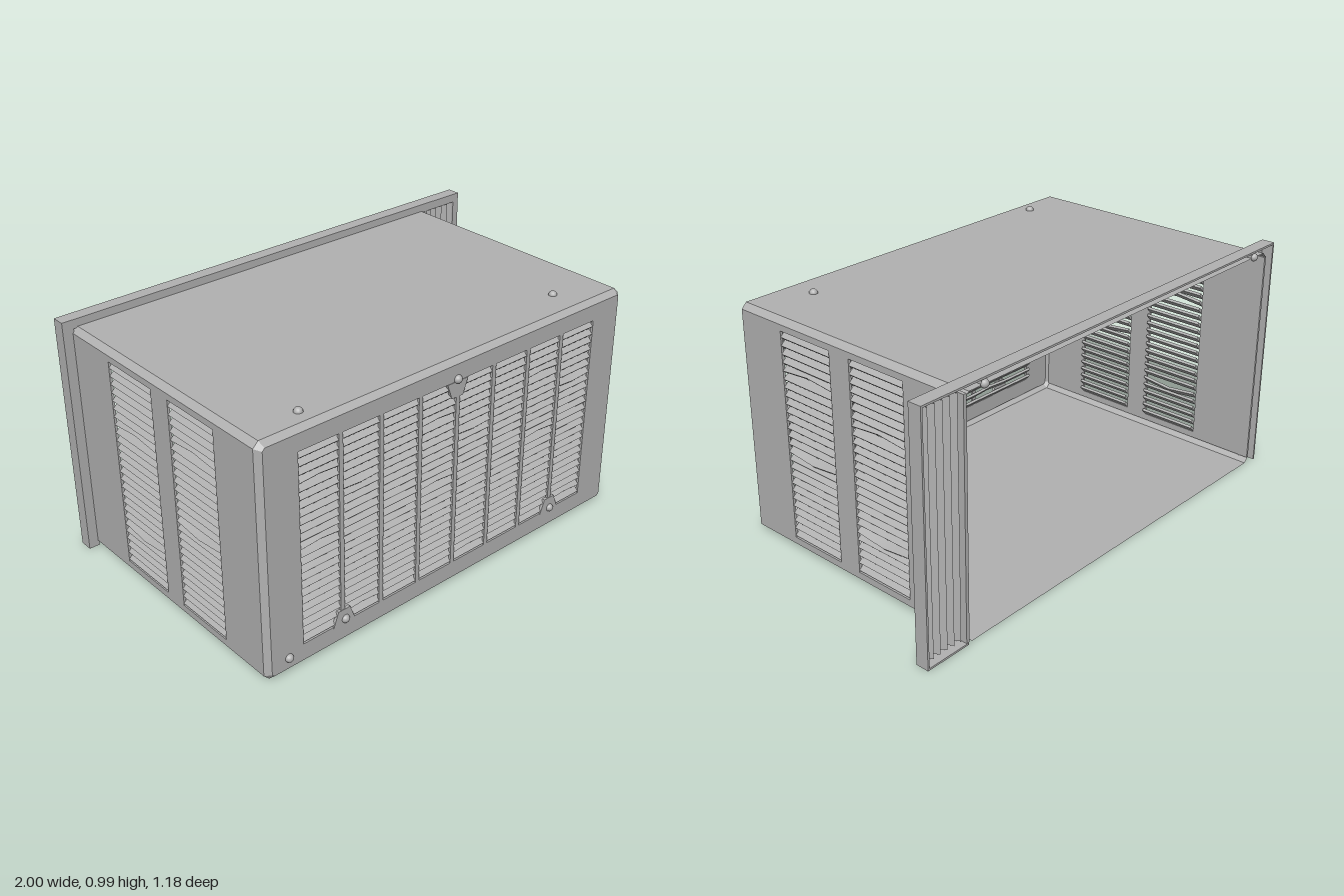
import * as THREE from 'three';

const X0 = -0.96, X1 = 0.8, Y0 = 0, Y1 = 0.957;   // casing cross-section
const ZB = -0.57, ZF = 0.55, ZFACE = 0.572;       // open back, chamfer start, front face

export function createModel() {
  const model = new THREE.Group();
  const grey = new THREE.MeshStandardMaterial({ color: 0xb2b2b2, side: THREE.DoubleSide });
  grey.name = 'painted grey metal';

  const add = (parent, name, geo, x = 0, y = 0, z = 0) => {
    const m = new THREE.Mesh(geo, grey);
    m.name = name;
    m.position.set(x, y, z);
    parent.add(m);
    return m;
  };
  // box given by its two extreme corners
  const bar = (parent, name, x0, x1, y0, y1, z0, z1) =>
    add(parent, name, new THREE.BoxGeometry(x1 - x0, y1 - y0, z1 - z0),
      (x0 + x1) / 2, (y0 + y1) / 2, (z0 + z1) / 2);
  const poly = (pts) => pts.map(([x, y]) => new THREE.Vector2(x, y));
  const rect = (x0, x1, y0, y1) => [[x0, y0], [x1, y0], [x1, y1], [x0, y1]];
  // sheet with rectangular openings, its outer face on local z = 0
  const sheet = (outline, holes, t = 0.01) => {
    const s = new THREE.Shape(poly(outline));
    for (const h of holes) s.holes.push(new THREE.Path(poly(rect(...h))));
    return new THREE.ExtrudeGeometry(s, { depth: t, bevelEnabled: false }).translate(0, 0, -t);
  };
  // rectangle with cut corners
  const octagon = (inset, c) => {
    const a = X0 + inset, b = X1 - inset, d = Y0 + inset, e = Y1 - inset;
    return [[b, d + c], [b, e - c], [b - c, e], [a + c, e],
      [a, e - c], [a, d + c], [a + c, d], [b - c, d]];
  };
  // faceted skin joining two rings, leaving out some edges
  const skin = (r0, z0, r1, z1, skip = []) => {
    const v = [];
    for (let i = 0; i < 8; i++) {
      if (skip.includes(i)) continue;
      const j = (i + 1) % 8;
      const a = [...r0[i], z0], b = [...r0[j], z0], c = [...r1[j], z1], d = [...r1[i], z1];
      v.push(...a, ...b, ...c, ...a, ...c, ...d);
    }
    const g = new THREE.BufferGeometry();
    g.setAttribute('position', new THREE.Float32BufferAttribute(v, 3));
    g.computeVertexNormals();
    return g;
  };
  // tilted louvre blade, optionally bent in the middle
  const slat = (len, bend = 0) => {
    const g = new THREE.BoxGeometry(len, 0.011, 0.034, bend ? 4 : 1, 1, 1).rotateX(Math.PI / 4);
    const p = g.attributes.position;
    if (bend) {
      for (let i = 0; i < p.count; i++) {
        p.setY(i, p.getY(i) + bend * (1 - Math.abs(p.getX(i)) / (len / 2)));
      }
      g.computeVertexNormals();
    }
    return g;
  };
  const louvres = (parent, x0, x1, y0, y1, count, bends = {}) => {
    const pitch = (y1 - y0) / count;
    for (let i = 0; i < count; i++) {
      add(parent, 'louvreSlat', slat(x1 - x0, bends[i]), (x0 + x1) / 2, y0 + pitch * (i + 0.5), -0.016);
    }
  };
  const screw = (name, x, y, z, rx) => {
    const g = new THREE.SphereGeometry(0.017, 14, 6, 0, Math.PI * 2, 0, Math.PI / 2);
    add(model, name, g, x, y, z).rotation.x = rx;
  };

  // casing: top, bottom and chamfered edges, open at the back
  const ring = octagon(0, 0.022), faceRing = octagon(0.02, 0.01);
  add(model, 'casingTopAndBottom', skin(ring, ZB, ring, ZF, [0, 4]));
  add(model, 'frontChamfer', skin(ring, ZF, faceRing, ZFACE));

  // side walls with two louvred openings each
  for (const side of [1, -1]) {
    const wall = new THREE.Group();
    wall.name = side > 0 ? 'leftWall' : 'rightWall';
    wall.position.x = side > 0 ? X1 : X0;
    wall.rotation.y = side * Math.PI / 2;
    model.add(wall);
    const span = (z0, z1) => (side > 0 ? [-z1, -z0] : [z0, z1]);
    const cols = [span(0.075, 0.335), span(-0.29, -0.025)];
    add(wall, 'wallSheet', sheet(rect(...span(ZB, ZF), 0.022, Y1 - 0.022),
      cols.map((c) => [...c, 0.05, 0.91])));
    louvres(wall, ...cols[0], 0.05, 0.91, 26, { 21: 0.012, 11: -0.014 });
    louvres(wall, ...cols[1], 0.05, 0.91, 26, { 18: 0.013, 5: -0.015 });
  }

  // front face with grille
  const front = new THREE.Group();
  front.name = 'frontPanel';
  front.position.z = ZFACE;
  model.add(front);
  const gx0 = -0.8, gx1 = 0.64, gy0 = 0.09, gy1 = 0.87, step = (gx1 - gx0) / 8;
  add(front, 'frontSheet', sheet(faceRing, [[gx0, gx1, gy0, gy1]]));
  for (let i = 0; i < 8; i++) {
    const x = gx0 + i * step;
    louvres(front, x, x + step, gy0, gy1, 24,
      i % 3 === 0 ? { 20: 0.006, 12: 0.007 } : i % 3 === 1 ? { 17: -0.006, 1: 0.006 } : {});
    if (i) bar(front, 'grilleBar', x - 0.009, x + 0.009, gy0, gy1, -0.01, 0);
  }
  // screw tabs overlapping the grille
  const tab = (x, y, dir) => add(front, 'screwTab',
    sheet([[-0.05, 0], [0.05, 0], [0.027, 0.062 * dir], [-0.027, 0.062 * dir]], [], 0.012), x, y, 0.002);
  tab(-0.085, gy1, -1);
  tab(-0.615, gy0 - 0.006, 1);
  tab(0.46, gy0 - 0.006, 1);

  // screws
  for (const [x, y] of [[-0.865, 0.065], [-0.61, 0.103], [0.465, 0.097], [-0.085, 0.878]]) {
    screw('frontScrew', x, y, ZFACE, Math.PI / 2);
  }
  screw('topScrew', -0.73, Y1, 0.49, 0);
  screw('topScrew', 0.555, Y1, 0.435, 0);
  for (const x of [-0.86, 0.71]) {
    screw('backScrew', x, 0.962, -0.572, -Math.PI / 2);
    bar(model, 'backScrewShank', x - 0.006, x + 0.006, 0.956, 0.968, -0.572, -0.525);
  }

  // mounting frame of angle strips at the back
  const F0 = -0.578, F1 = -0.523, T = 0.008;
  bar(model, 'frameTopFace', -1, 1, 0.952, 0.988, F1 - T, F1);
  bar(model, 'frameTopLip', -1, 1, 0.988 - T, 0.988, F0, F1);
  bar(model, 'frameRightFace', -1, X0 + 0.005, 0, 0.985, F1 - T, F1);
  bar(model, 'frameRightLip', -1, -1 + T, 0, 0.985, F0, F1);
  bar(model, 'frameLeftFace', 0.97, 1, 0, 0.985, F1 - T, F1);
  bar(model, 'frameLeftLip', 1 - T, 1, 0, 0.985, F0, F1);
  bar(model, 'frameBottomFace', X1, 1, 0, 0.03, F1 - T, F1);
  bar(model, 'frameBottomLip', X1, 1, 0, T, F0, F1);
  bar(model, 'pleatChannel', X1 - 0.002, X1 + 0.012, 0.01, 0.96, F0, F1);

  // pleated side curtain
  const pleats = 5, w = (0.975 - 0.808) / (pleats * 2), near = [], far = [];
  for (let i = 0; i <= pleats * 2; i++) {
    const x = 0.808 + i * w, z = i % 2 ? 0.56 : 0.532;
    near.push([x, z]);
    far.unshift([x, z + 0.004]);
  }
  const curtain = new THREE.ExtrudeGeometry(new THREE.Shape(poly([...near, ...far])),
    { depth: 0.945, bevelEnabled: false }).rotateX(-Math.PI / 2);
  add(model, 'pleatedCurtain', curtain, 0, 0.02, 0);

  return model;
}
